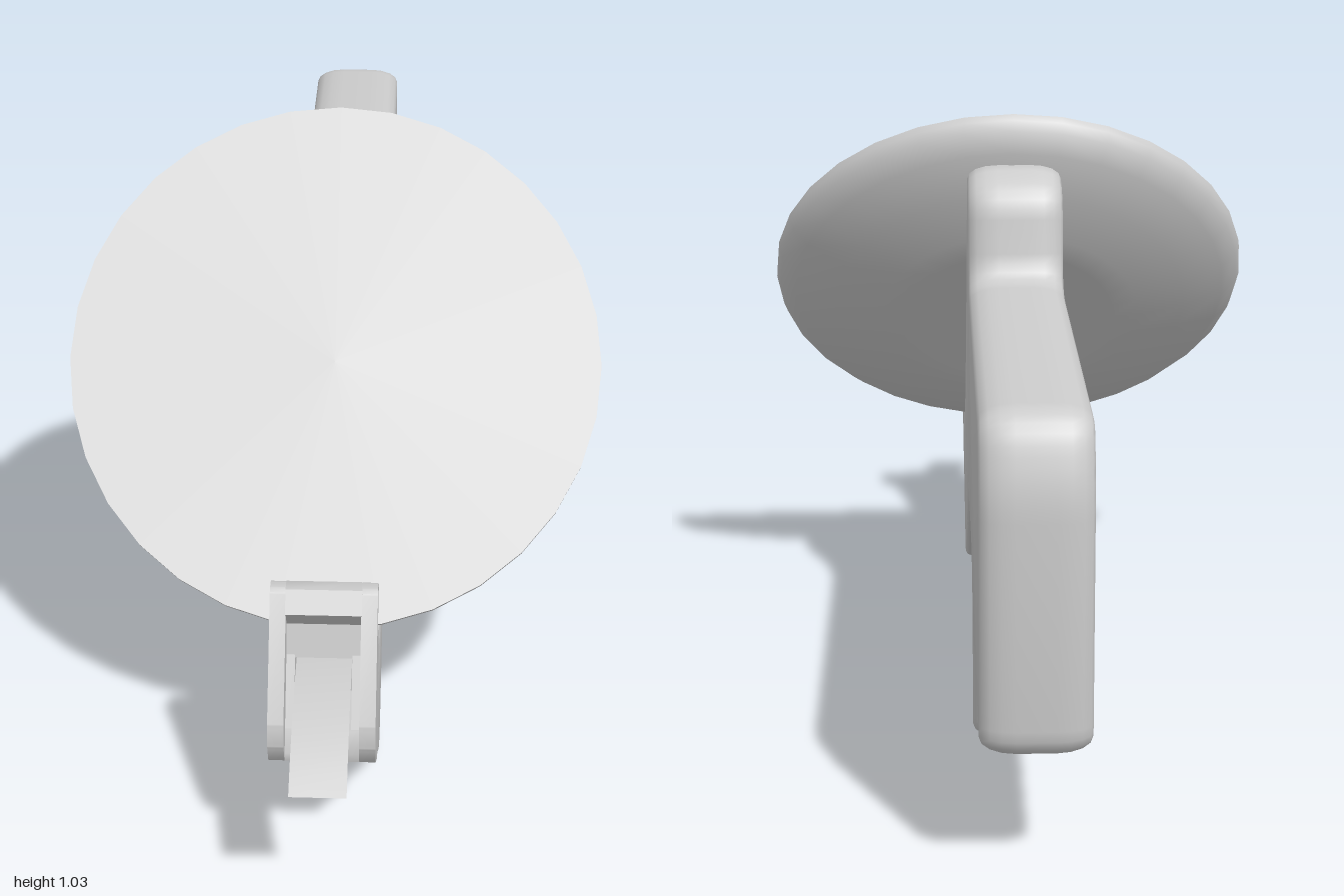
import * as THREE from 'three';
import { toCreasedNormals } from 'three/addons/utils/BufferGeometryUtils.js';

const grey = new THREE.MeshStandardMaterial({ color: 0xcccccc });
grey.name = 'plain grey';
const greySheet = new THREE.MeshStandardMaterial({ color: 0xcccccc, side: THREE.DoubleSide });
greySheet.name = 'plain grey sheet';

// Closed outline from [z, y] corners, each corner softened by a curve of size r
function outline(points, r) {
  const shape = new THREE.Shape();
  const v = points.map(([z, y]) => new THREE.Vector2(z, y));
  v.forEach((p, i) => {
    const prev = v[(i + v.length - 1) % v.length];
    const next = v[(i + 1) % v.length];
    const cut = (q) => p.clone().lerp(q, Math.min(r / p.distanceTo(q), 0.45));
    const a = cut(prev), b = cut(next);
    if (i === 0) shape.moveTo(a.x, a.y);
    else shape.lineTo(a.x, a.y);
    if (r > 0) shape.quadraticCurveTo(p.x, p.y, b.x, b.y);
  });
  shape.closePath();
  return shape;
}

// Side profile extruded across x from x0 to x1
function slab(name, points, x0, x1, { round = 0, bevel = 0, bevelDepth = bevel } = {}) {
  const geo = new THREE.ExtrudeGeometry(outline(points, round), {
    depth: x1 - x0 - 2 * bevelDepth,
    curveSegments: 5,
    bevelEnabled: bevel > 0,
    bevelSize: bevel,
    bevelOffset: -bevel,
    bevelThickness: bevelDepth,
    bevelSegments: 4,
  });
  geo.rotateY(-Math.PI / 2);
  geo.translate(x1 - bevelDepth, 0, 0);
  const mesh = new THREE.Mesh(toCreasedNormals(geo, 0.65), grey);
  mesh.name = name;
  return mesh;
}

export function createModel() {
  const model = new THREE.Group();
  model.name = 'tapeDispenser';
  const W = 0.086;

  // Rear grip with the upright spine and the finger stop
  model.add(slab('grip', [
    [0.02, 0.957], [-0.09, 0.91], [-0.11, 0.75], [-0.965, 0.75], [-1, 0.64],
    [-1, 0.215], [-0.51, 0.215], [-0.45, 0], [-0.365, 0], [-0.385, 0.1],
    [-0.385, 0.23], [-0.32, 0.3], [0.06, 0.3], [0.28, 0.16], [0.4, 0.42], [0.1, 0.81],
  ], -W, W, { round: 0.05, bevel: 0.025, bevelDepth: 0.055 }));

  // Lower front body
  model.add(slab('frontBody', [
    [0.06, 0.298], [0.27, 0.158], [0.45, 0.03], [0.5, 0.015], [0.56, 0.035], [0.72, 0.148],
    [0.72, 0.39], [0.7, 0.39], [0.62, 0.32], [0.58, 0.3], [0.53, 0.315], [0.4, 0.42], [0.15, 0.7],
  ], -W, W, { round: 0.02, bevel: 0.012 }));

  // Trigger under the body
  model.add(slab('trigger', [
    [0.29, 0.155], [0.15, 0.208], [0.1, 0.205], [-0.3, 0.09], [-0.325, 0.045],
    [-0.36, 0.02], [-0.4, 0.06], [-0.4, 0.3], [0.06, 0.33], [0.28, 0.22],
  ], -0.068, 0.068, { round: 0.03, bevel: 0.014, bevelDepth: 0.022 }));

  // Nose: two cheeks around a recessed wall with a slot
  const nose = new THREE.Group();
  nose.name = 'nose';
  const cheek = [
    [0.7, 0.134], [0.85, 0.24], [0.87, 0.28], [0.865, 0.32], [0.755, 0.505],
    [0.73, 0.505], [0.69, 0.475], [0.73, 0.435], [0.725, 0.415], [0.7, 0.39],
  ];
  const filler = [[0.7, 0.27], [0.835, 0.27], [0.77, 0.39], [0.7, 0.39]];
  for (const [side, s] of [['left', 1], ['right', -1]]) {
    const span = (a, b) => (s > 0 ? [a, b] : [-b, -a]);
    nose.add(slab(side + 'Cheek', cheek, ...span(0.06, W), { round: 0.008 }));
    nose.add(slab(side + 'SlotSide', filler, ...span(0.046, 0.061)));
  }
  nose.add(slab('lip', [
    [0.7, 0.385], [0.77, 0.385], [0.755, 0.44], [0.778, 0.472], [0.755, 0.505],
    [0.73, 0.505], [0.69, 0.475], [0.73, 0.435], [0.725, 0.415], [0.7, 0.39],
  ], -0.061, 0.061));
  nose.add(slab('slotFloor', [
    [0.7, 0.134], [0.842, 0.234], [0.845, 0.25], [0.828, 0.286], [0.7, 0.286],
  ], -0.061, 0.061));
  model.add(nose);

  // Large round holder: flat face with a shallow dished back
  const holder = new THREE.Group();
  holder.name = 'discHolder';
  const profile = [
    [0, -0.122], [0.2, -0.122], [0.25, -0.118], [0.34, -0.095],
    [0.42, -0.064], [0.45, -0.035], [0.458, -0.015], [0.458, 0],
  ].map(([r, y]) => new THREE.Vector2(r, y));
  const back = new THREE.Mesh(new THREE.LatheGeometry(profile, 32), grey);
  back.name = 'discBack';
  const face = new THREE.Mesh(new THREE.CircleGeometry(0.458, 32).rotateX(-Math.PI / 2), grey);
  face.name = 'discFace';
  holder.add(back, face);
  holder.position.set(0, 0.682, 0.312);
  holder.rotation.x = 0.877;
  model.add(holder);

  // Thin strip curling out of the slot
  const curve = new THREE.QuadraticBezierCurve(
    new THREE.Vector2(0.72, 0.366), new THREE.Vector2(0.87, 0.37), new THREE.Vector2(1, 0.286));
  const stripGeo = new THREE.PlaneGeometry(0.09, 1, 1, 8);
  const pos = stripGeo.attributes.position;
  for (let i = 0; i < pos.count; i++) {
    const p = curve.getPoint(0.5 - pos.getY(i));
    pos.setXYZ(i, pos.getX(i), p.y, p.x);
  }
  stripGeo.computeVertexNormals();
  const strip = new THREE.Mesh(stripGeo, greySheet);
  strip.name = 'strip';
  model.add(strip);

  return model;
}
